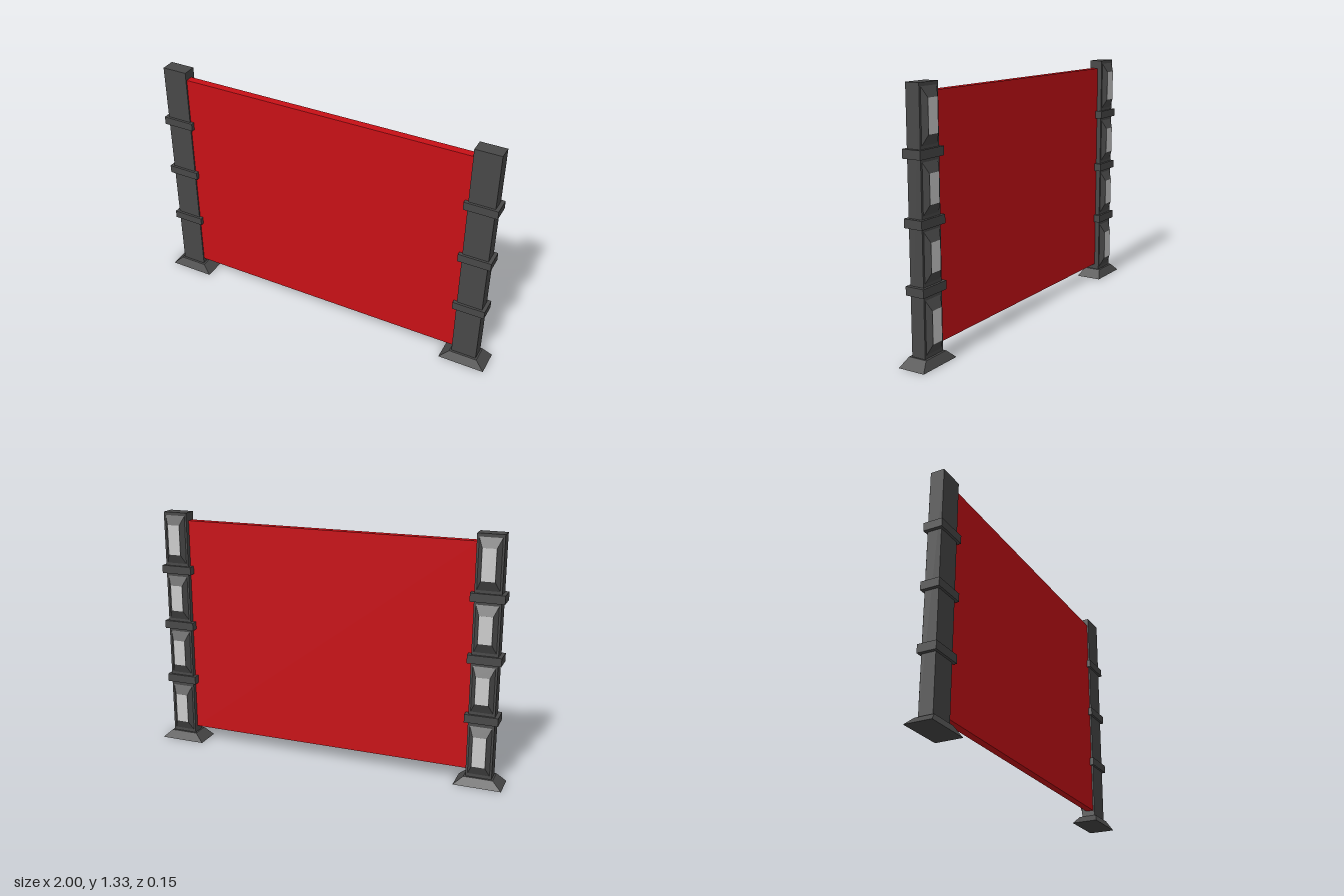
import * as THREE from 'three';

const dark = new THREE.MeshStandardMaterial({ color: 0x484848, flatShading: true });
const red = new THREE.MeshStandardMaterial({ color: 0xc81016, flatShading: true });
const pale = new THREE.MeshStandardMaterial({ color: 0xcccccc, flatShading: true });

function add(parent, name, geometry, material, x = 0, y = 0, z = 0) {
  const mesh = new THREE.Mesh(geometry, material);
  mesh.name = name;
  mesh.position.set(x, y, z);
  parent.add(mesh);
  return mesh;
}

// Box whose +y end is scaled to a smaller rectangle
function frustum(w, h, d, topW, topD) {
  const g = new THREE.BoxGeometry(w, h, d);
  const p = g.attributes.position;
  for (let i = 0; i < p.count; i++) {
    if (p.getY(i) > 0) {
      p.setX(i, p.getX(i) * topW / w);
      p.setZ(i, p.getZ(i) * topD / d);
    }
  }
  g.computeVertexNormals();
  return g;
}

function createPost(name) {
  const post = new THREE.Group();
  post.name = name;

  // Flared foot and square upright
  add(post, 'foot', frustum(0.255, 0.045, 0.146, 0.155, 0.1), dark, 0, 0.0225);
  add(post, 'upright', new THREE.BoxGeometry(0.138, 1.31, 0.076), dark, 0, 0.675);

  // Bands around the upright
  for (const y of [0.37, 0.69, 1.01]) {
    add(post, 'band', new THREE.BoxGeometry(0.176, 0.044, 0.102), dark, 0, y);
  }

  // Bevelled lamp housings on the back, each with a pale lens
  for (const [y0, y1] of [[0.06, 0.33], [0.405, 0.655], [0.725, 0.975], [1.045, 1.315]]) {
    const h = y1 - y0, lensH = h - 0.105, y = (y0 + y1) / 2;
    const housing = frustum(0.118, 0.024, h, 0.072, lensH);
    housing.rotateX(-Math.PI / 2);
    add(post, 'lampHousing', housing, dark, 0, y, -0.049);
    const lens = new THREE.PlaneGeometry(0.07, lensH).rotateY(Math.PI);
    add(post, 'lens', lens, pale, 0, y, -0.0615);
  }
  return post;
}

export function createModel() {
  const model = new THREE.Group();
  model.name = 'barrierFence';

  const right = createPost('rightPost');
  right.position.x = -0.8715;
  const left = createPost('leftPost');
  left.position.x = 0.8685;
  model.add(right, left);

  // Panel held between the posts
  add(model, 'panel', new THREE.BoxGeometry(1.61, 1.208, 0.042), red, -0.003, 0.681, 0.009);
  return model;
}
